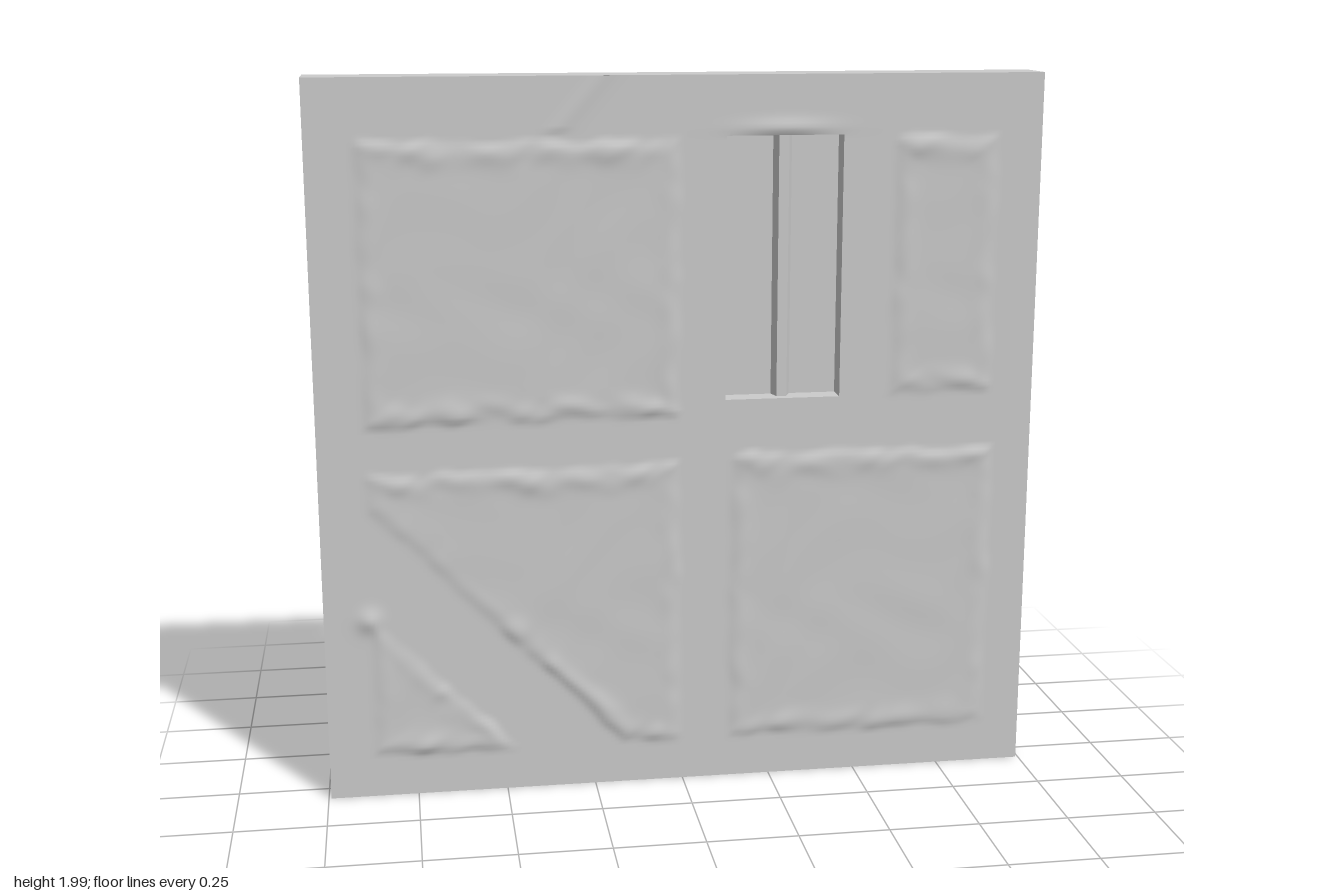
import * as THREE from 'three';

const H = 0.993, INNER = 0.915, CY = 0.998;       // half size, half of back opening, centre height
const FRONT = 0.07, BACK = -0.08;
const WIN = { x0: 0.12, x1: 0.44, y0: 1.11, y1: 1.83 };

const material = new THREE.MeshStandardMaterial({ color: 0xcccccc, roughness: 0.9 });
const thin = new THREE.MeshStandardMaterial({ color: 0xcccccc, roughness: 0.9, side: THREE.DoubleSide });
const smooth = (a, b, v) => THREE.MathUtils.smoothstep(v, a, b);
const bell = (v, width) => Math.exp(-((v / width) ** 2));

// Irregular lumps from a few crossing waves, about -1 to 1
function lumps(x, y) {
  return 0.5 * Math.sin(x * 11 + 2.3 * Math.sin(y * 5.3 + 1)) * Math.sin(y * 9 + 1.7 * Math.sin(x * 6.1))
    + 0.3 * Math.sin(x * 29 + y * 13 + 2 * Math.sin(y * 17)) + 0.2 * Math.sin(y * 41 - x * 23 + 3 * Math.sin(x * 15));
}

// Plaster fields between the recessed beams: x0, x1, y0, y1
const fields = [
  [-0.87, 0.0, 1.06, 1.83], [0.58, 0.88, 1.11, 1.83],
  [-0.87, 0.0, 0.12, 0.94], [0.13, 0.89, 0.12, 0.96],
];

// Signed distance from a line through (ax, ay) and (bx, by)
function lineDistance(x, y, ax, ay, bx, by) {
  const dx = bx - ax, dy = by - ay;
  return ((x - ax) * dy - (y - ay) * dx) / Math.hypot(dx, dy);
}

// Surface relief: raised plaster with lumpy rims, beams and diagonal braces left low
function relief(x, y) {
  const wx = x + 0.008 * lumps(y, x), wy = y + 0.012 * lumps(x, y);
  let h = 0;
  for (const [x0, x1, y0, y1] of fields) {
    const dx = Math.min(wx - x0, x1 - wx), dy = Math.min(wy - y0, y1 - wy);
    let d = Math.min(dx, dy);
    if (x1 === 0 && y0 < 1) {
      d = Math.min(d, Math.abs(lineDistance(wx, wy, -0.86, 0.68, -0.35, 0.16)) - 0.1);
    }
    if (d <= 0) continue;
    // Rims are strong along the horizontal beams and faint along the posts
    const strength = 0.35 + 0.65 * smooth(-0.03, 0.03, dx - dy);
    const rim = smooth(0, 0.02, d) * bell(d - 0.03, 0.035);
    h += 0.003 * smooth(0, 0.045, d) + rim * strength * (0.004 + 0.005 * lumps(x * 1.3 + 2, y * 1.3));
    h += 0.0015 * lumps(x * 0.7, y * 0.8) * smooth(0, 0.1, d);
  }
  // Soft raised seam across the upper corner
  const seam = lineDistance(x, y, -0.86, 1.24, -0.35, 1.83);
  h += 0.003 * bell(seam, 0.025) * smooth(1.2, 1.3, y) * smooth(1.85, 1.78, y) * smooth(-0.88, -0.84, x);
  // Peg head on the brace
  h += 0.011 * bell(Math.hypot(x + 0.87, y - 0.52), 0.03);
  // Lip above the window
  if (y > WIN.y1) h += 0.007 * bell(x - 0.28, 0.12) * bell(y - 1.85, 0.02);
  return h;
}

// Evenly spaced grid lines passing through all given stops
function gridLines(stops, step) {
  const out = [stops[0]];
  for (let i = 1; i < stops.length; i++) {
    const a = stops[i - 1], b = stops[i], n = Math.ceil((b - a) / step);
    for (let k = 1; k <= n; k++) out.push(a + (b - a) * k / n);
  }
  return out;
}

// Thin plaster sheet with the window cut out, seen from both sides
function plasterSheet() {
  const xs = gridLines([-H, WIN.x0, WIN.x1, H], 0.011);
  const ys = gridLines([CY - H, WIN.y0, WIN.y1, CY + H], 0.011);
  const pos = [], index = [], w = xs.length;
  for (const y of ys) for (const x of xs) pos.push(x, y, FRONT + relief(x, y));
  for (let j = 0; j < ys.length - 1; j++) {
    for (let i = 0; i < w - 1; i++) {
      const mx = (xs[i] + xs[i + 1]) / 2, my = (ys[j] + ys[j + 1]) / 2;
      if (mx > WIN.x0 && mx < WIN.x1 && my > WIN.y0 && my < WIN.y1) continue;
      const a = j * w + i, b = a + 1, c = b + w, d = a + w;
      index.push(a, b, c, a, c, d);
    }
  }
  const g = new THREE.BufferGeometry();
  g.setAttribute('position', new THREE.Float32BufferAttribute(pos, 3));
  g.setIndex(index);
  g.computeVertexNormals();
  return g;
}

function part(name, geometry, mat = material) {
  const m = new THREE.Mesh(geometry, mat);
  m.name = name;
  return m;
}

// One mitred side of the hollow rim: outer wall, then the back lip with a softened edge
function rimSide() {
  const pos = [], nor = [], index = [];
  const strip = (r0, z0, n0, r1, z1, n1) => {
    const k = pos.length / 3;
    pos.push(-r0, r0, z0, r0, r0, z0, r1, r1, z1, -r1, r1, z1);
    nor.push(...n0, ...n0, ...n1, ...n1);
    index.push(k, k + 1, k + 2, k, k + 2, k + 3);
  };
  strip(H, FRONT, [0, 1, 0], H, BACK, [0, 1, 0]);
  strip(H, BACK, [0, 0.6, -0.8], INNER, BACK, [0, 0, -1]);
  const g = new THREE.BufferGeometry();
  g.setAttribute('position', new THREE.Float32BufferAttribute(pos, 3));
  g.setAttribute('normal', new THREE.Float32BufferAttribute(nor, 3));
  g.setIndex(index);
  return g;
}

function rectangle(Type, grow) {
  const { x0, x1, y0, y1 } = WIN;
  return new Type([
    new THREE.Vector2(x0 - grow, y0 - grow), new THREE.Vector2(x1 + grow, y0 - grow),
    new THREE.Vector2(x1 + grow, y1 + grow), new THREE.Vector2(x0 - grow, y1 + grow),
  ]);
}

export function createModel() {
  const model = new THREE.Group();
  model.name = 'wallPanel';

  model.add(part('plasterSheet', plasterSheet(), thin));

  // Hollow rim around the back
  const rim = new THREE.Group();
  rim.name = 'rim';
  const side = rimSide();
  for (let i = 0; i < 4; i++) {
    const m = part('rimSide', side, thin);
    m.rotation.z = i * Math.PI / 2;
    rim.add(m);
  }
  rim.position.y = CY;
  model.add(rim);

  // Recessed window: reveal walls, closed by a soft-edged casing at the back
  const reveal = rectangle(THREE.Shape, 0.017);
  reveal.holes.push(rectangle(THREE.Path, 0));
  model.add(part('windowReveal', new THREE.ExtrudeGeometry(reveal, { depth: FRONT - 0.002, bevelEnabled: false })));

  const casing = new THREE.ExtrudeGeometry(rectangle(THREE.Shape, 0.003), {
    depth: 0.002, bevelThickness: 0.009, bevelSize: 0.014, bevelSegments: 3,
  });
  casing.translate(0, 0, -0.006);
  model.add(part('windowCasing', casing));

  // Central mullion with sloping sides
  const bar = new THREE.Shape([
    new THREE.Vector2(0.257, 0), new THREE.Vector2(0.312, 0),
    new THREE.Vector2(0.296, -0.04), new THREE.Vector2(0.268, -0.04),
  ]);
  const mullion = new THREE.ExtrudeGeometry(bar, { depth: WIN.y1 - WIN.y0, bevelEnabled: false });
  mullion.rotateX(-Math.PI / 2);
  mullion.translate(0, WIN.y0, 0);
  model.add(part('mullion', mullion));

  return model;
}
